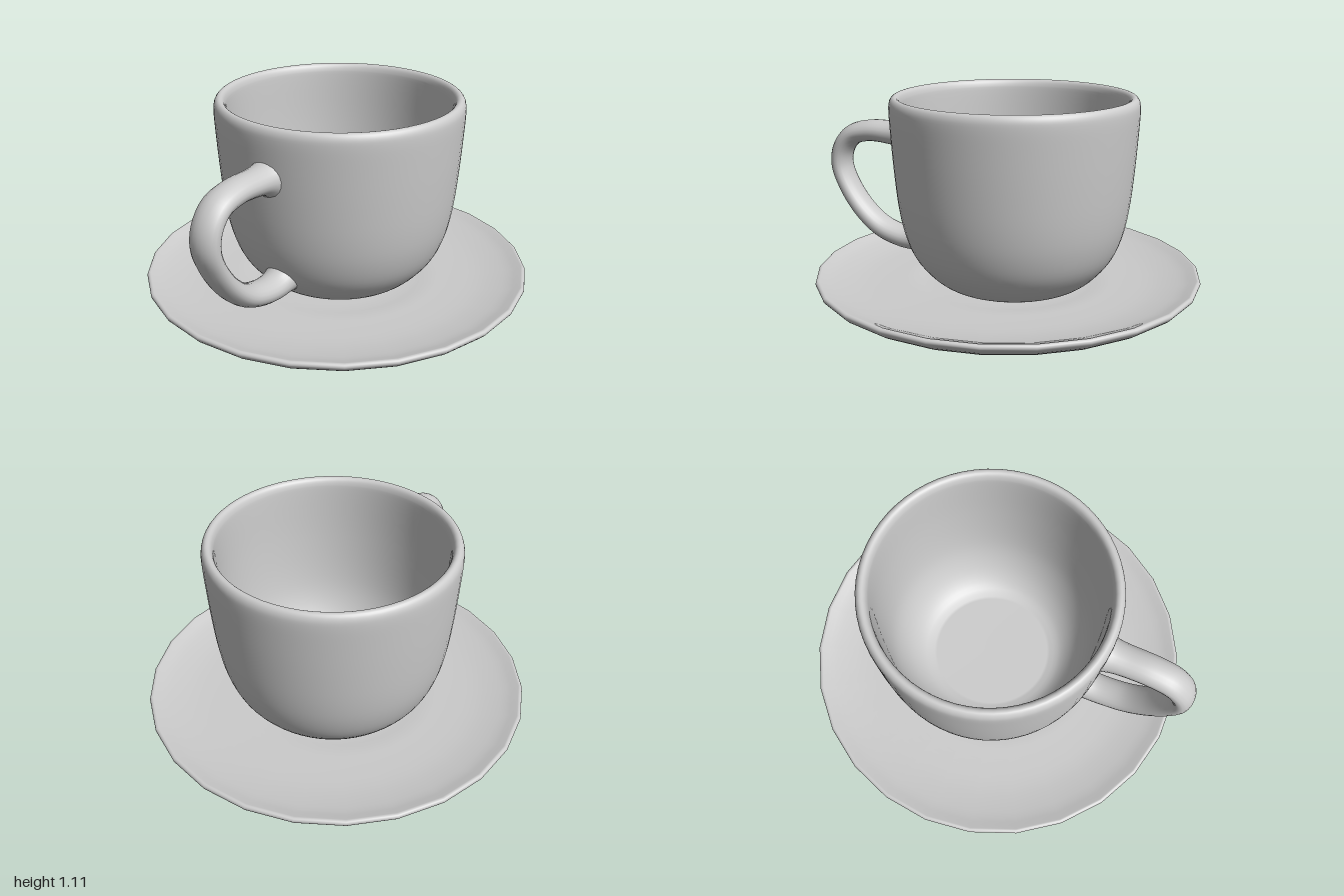
import * as THREE from 'three';
import { mergeVertices } from 'three/addons/utils/BufferGeometryUtils.js';

const material = new THREE.MeshStandardMaterial({ color: 0xcccccc, side: THREE.DoubleSide });

function part(name, geometry) {
  const mesh = new THREE.Mesh(geometry, material);
  mesh.name = name;
  return mesh;
}

const toPoints = (pairs) => pairs.map(([x, y]) => new THREE.Vector2(x, y));

// Smooth curve through a list of [radius, height] pairs
const smooth = (pairs, n) => new THREE.SplineCurve(toPoints(pairs)).getPoints(n);

// Swept handle in the yz plane: oval section, widening where it meets the wall
function handleGeometry() {
  const path = new THREE.CatmullRomCurve3([
    [0.865, 0.59], [0.872, 0.68], [0.875, 0.82], [0.845, 0.93], [0.77, 0.993], [0.68, 1.008],
    [0.57, 0.97], [0.44, 0.88], [0.35, 0.77], [0.31, 0.65], [0.305, 0.56], [0.325, 0.475],
  ].map(([y, z]) => new THREE.Vector3(0, y, z)), false, 'centripetal');
  const rings = 72, sides = 20;
  const geometry = new THREE.TubeGeometry(path, rings, 1, sides, false);
  const pos = geometry.attributes.position;
  const v = new THREE.Vector3();
  for (let i = 0; i <= rings; i++) {
    const t = i / rings;
    const centre = path.getPointAt(t);
    const flare = 0.03 * (Math.exp(-t * 30) + Math.exp(-(1 - t) * 30));
    const half = 0.048 + 0.014 * Math.abs(2 * t - 1) + flare;
    const wide = 0.078 + flare * 0.6;
    for (let j = 0; j <= sides; j++) {
      const k = i * (sides + 1) + j;
      v.fromBufferAttribute(pos, k).sub(centre);
      pos.setXYZ(k, v.x * wide, centre.y + v.y * half, centre.z + v.z * half);
    }
  }
  // Weld the seam so that shading is continuous
  geometry.deleteAttribute('uv');
  geometry.deleteAttribute('normal');
  const welded = mergeVertices(geometry, 1e-5);
  welded.computeVertexNormals();
  return welded;
}

export function createModel() {
  const model = new THREE.Group();
  model.name = 'cupAndSaucer';

  // Saucer: flat foot, shallow underside, thin rim and dished top
  const saucer = part('saucer', new THREE.LatheGeometry([
    ...toPoints([[0, 0.008], [0.35, 0.008], [0.37, 0.005], [0.39, 0.01]]),
    ...smooth([[0.45, 0.027], [0.6, 0.05], [0.74, 0.078], [0.86, 0.122], [0.94, 0.165],
      [0.974, 0.195], [0.977, 0.212], [0.965, 0.22], [0.945, 0.214], [0.88, 0.193],
      [0.75, 0.172], [0.6, 0.165], [0.5, 0.163], [0.42, 0.155]], 40),
    ...toPoints([[0.35, 0.15], [0, 0.15]]),
  ], 26));
  saucer.position.z = -0.022;
  model.add(saucer);

  // Cup: rounded bowl with a rolled lip and hollow inside
  const cup = new THREE.Group();
  cup.name = 'cup';
  cup.position.set(0.002, 0, -0.055);
  cup.add(part('bowl', new THREE.LatheGeometry([
    new THREE.Vector2(0, 0.145),
    ...smooth([[0.3, 0.147], [0.37, 0.17], [0.44, 0.225], [0.51, 0.315], [0.555, 0.43],
      [0.582, 0.57], [0.6, 0.76], [0.612, 0.95], [0.616, 1.05], [0.611, 1.09], [0.595, 1.11],
      [0.575, 1.108], [0.561, 1.085], [0.555, 1.03], [0.545, 0.8], [0.525, 0.58],
      [0.495, 0.43], [0.44, 0.31], [0.37, 0.235], [0.3, 0.21]], 70),
    new THREE.Vector2(0, 0.208),
  ], 64)));

  // Handle, turned slightly off the front
  const handle = part('handle', handleGeometry());
  handle.rotation.y = -0.148;
  cup.add(handle);
  model.add(cup);

  return model;
}
